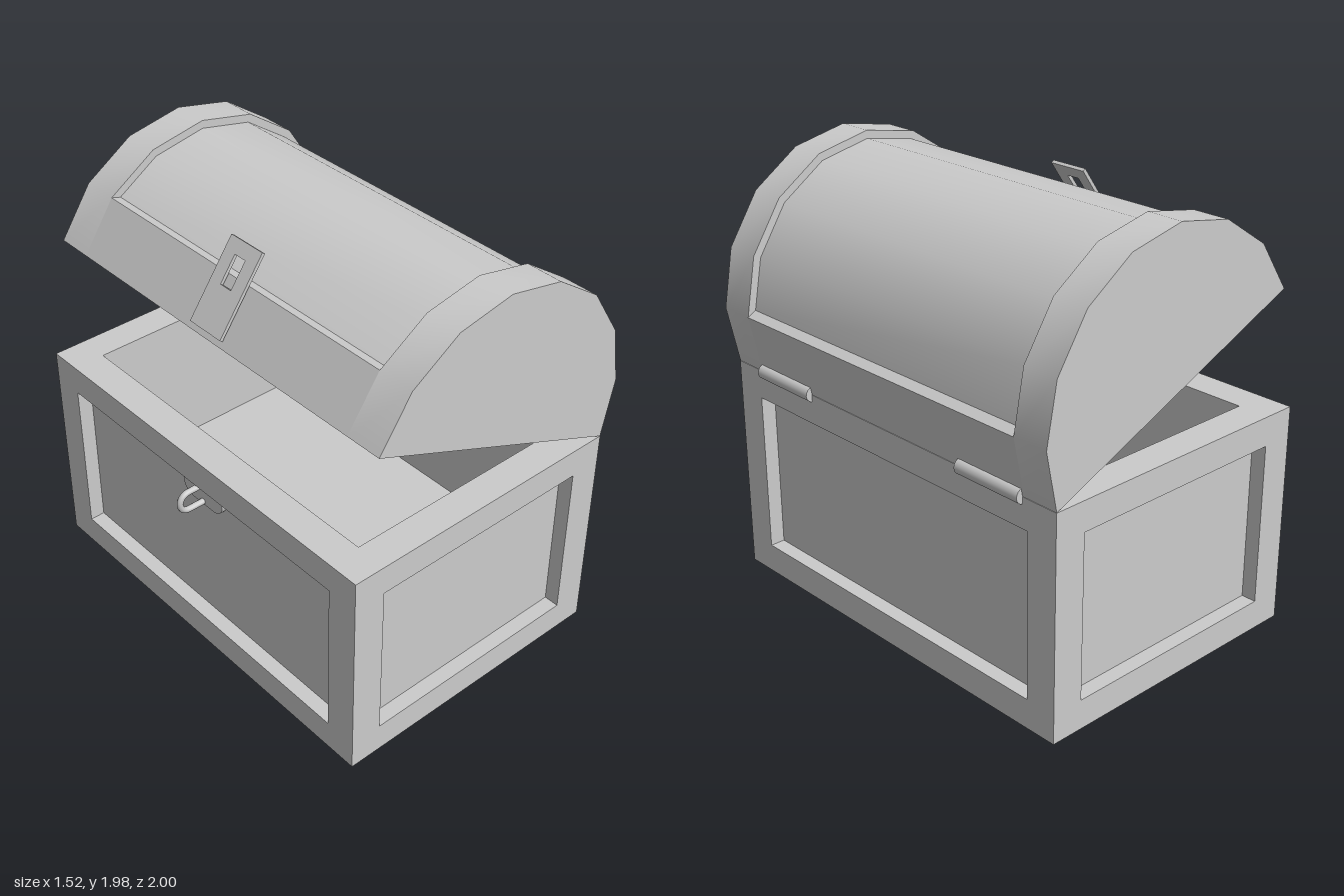
import * as THREE from 'three';
import { toCreasedNormals } from 'three/addons/utils/BufferGeometryUtils.js';

const material = new THREE.MeshStandardMaterial({ color: 0xcccccc });

// Body limits: front of the chest faces -x, hinges are on +x
const X0 = -0.67, X1 = 0.71, TOP = 1.015, RIM = 0.15, RECESS = 0.07, LOWER = 0.135;
const FLOOR = 0.36;

function add(parent, name, geometry) {
  const mesh = new THREE.Mesh(geometry, material);
  mesh.name = name;
  parent.add(mesh);
  return mesh;
}

// Box given by its limits on each axis
function block(parent, name, x0, x1, y0, y1, z0, z1) {
  const mesh = add(parent, name, new THREE.BoxGeometry(x1 - x0, y1 - y0, z1 - z0));
  mesh.position.set((x0 + x1) / 2, (y0 + y1) / 2, (z0 + z1) / 2);
}

// Outline in x/y extruded between two z values, smooth over the curve only
function slab(parent, name, points, z0, z1) {
  const geometry = new THREE.ExtrudeGeometry(new THREE.Shape(points), { depth: z1 - z0, bevelEnabled: false });
  geometry.translate(0, 0, z0);
  return add(parent, name, toCreasedNormals(geometry, 0.5));
}

function createBody() {
  const body = new THREE.Group();
  body.name = 'chestBody';
  const ix0 = X0 + RIM, ix1 = X1 - RIM, iz = 1 - RIM;
  const px0 = X0 + RECESS, px1 = X1 - RECESS, pz = 1 - RECESS;

  // Floor and recessed wall panels
  block(body, 'floor', px0, px1, RECESS, FLOOR, -pz, pz);
  block(body, 'frontPanel', px0, ix0, FLOOR, 0.95, -pz, pz);
  block(body, 'backPanel', ix1, px1, FLOOR, 0.95, -pz, pz);
  for (const s of [-1, 1]) {
    block(body, 'sidePanel', ix0, ix1, FLOOR, 0.95, Math.min(s * iz, s * pz), Math.max(s * iz, s * pz));
  }

  // Frame of corner posts and rails
  for (const [x0, x1] of [[X0, ix0], [ix1, X1]]) {
    for (const [z0, z1] of [[-1, -iz], [iz, 1]]) block(body, 'cornerPost', x0, x1, 0, TOP, z0, z1);
    for (const [y0, y1] of [[0, LOWER], [0.88, TOP]]) block(body, 'longRail', x0, x1, y0, y1, -iz, iz);
  }
  for (const [z0, z1] of [[-1, -iz], [iz, 1]]) {
    for (const [y0, y1] of [[0, LOWER], [0.88, TOP]]) block(body, 'shortRail', ix0, ix1, y0, y1, z0, z1);
  }
  return body;
}

function createLid() {
  const lid = new THREE.Group();
  lid.name = 'lid';
  const tilt = -23.25, step = 22.5, bandZ = 0.83;
  const polar = (r, deg) => {
    const a = THREE.MathUtils.degToRad(deg);
    return new THREE.Vector2(0.07 + r * Math.cos(a), 1.29 + r * Math.sin(a));
  };
  const arc = (r, from, to) => {
    const points = [];
    for (let k = from; k <= to; k++) points.push(polar(r, tilt + step * k));
    return points;
  };

  // Solid end bands
  const outer = arc(0.695, 0, 8);
  slab(lid, 'lidEndBand', outer, bandZ, 1);
  slab(lid, 'lidEndBand', outer, -1, -bandZ);

  // Hollow middle: raised edge rails with a sunken curved panel between them
  const sunken = [polar(0.655, tilt + step + 2), ...arc(0.658, 2, 6), polar(0.655, tilt + step * 7 - 2)];
  const inner = arc(0.55, 0, 8).reverse();
  slab(lid, 'lidShell', [outer[0], outer[1], ...sunken, outer[7], outer[8], ...inner], -bandZ, bandZ);
  return lid;
}

// Hinged plate with a slot, lying on the front of the lid
function createHasp() {
  const shape = new THREE.Shape();
  shape.moveTo(-0.095, 0).lineTo(0.095, 0).lineTo(0.095, 0.382).lineTo(-0.095, 0.382).closePath();
  const slot = new THREE.Path();
  slot.moveTo(-0.032, 0.19).lineTo(-0.032, 0.32).lineTo(0.032, 0.32).lineTo(0.032, 0.19).closePath();
  shape.holes.push(slot);
  const geometry = new THREE.ExtrudeGeometry(shape, { depth: 0.016, bevelEnabled: false });
  const along = new THREE.Vector3(0.222, 0.31, 0).normalize();
  const across = new THREE.Vector3(0, 0, 1);
  const out = new THREE.Vector3().crossVectors(across, along);
  geometry.applyMatrix4(new THREE.Matrix4().makeBasis(across, along, out).setPosition(-0.56, 1.596, 0));
  return geometry;
}

// Staple loop and its rounded mounting plate on the front panel
function createStaple() {
  const staple = new THREE.Group();
  staple.name = 'staple';
  const y = 0.808, r = 0.045, path = [];
  for (const x of [-0.59, -0.63, -0.67]) path.push(new THREE.Vector3(x, y + r, 0));
  for (let k = 0; k <= 8; k++) {
    const a = Math.PI / 2 + (Math.PI * k) / 8;
    path.push(new THREE.Vector3(-0.7 + r * Math.cos(a), y + r * Math.sin(a), 0));
  }
  for (const x of [-0.67, -0.63, -0.59]) path.push(new THREE.Vector3(x, y - r, 0));
  add(staple, 'stapleLoop', new THREE.TubeGeometry(new THREE.CatmullRomCurve3(path), 40, 0.014, 10));

  const outline = new THREE.Shape();
  outline.absarc(0.07, 0, 0.06, -Math.PI / 2, Math.PI / 2);
  outline.absarc(-0.07, 0, 0.06, Math.PI / 2, Math.PI * 1.5);
  const plate = new THREE.ExtrudeGeometry(outline, { depth: 0.025, bevelEnabled: false, curveSegments: 8 });
  plate.rotateY(-Math.PI / 2).translate(X0 + RECESS, y, 0);
  add(staple, 'staplePlate', toCreasedNormals(plate, 0.6));
  return staple;
}

export function createModel() {
  const chest = new THREE.Group();
  chest.name = 'chest';
  chest.add(createBody(), createLid(), createStaple());
  add(chest, 'hasp', createHasp());

  // Hinge barrels along the back edge
  for (const s of [-1, 1]) {
    const hinge = add(chest, 'hinge', new THREE.CylinderGeometry(0.035, 0.035, 0.35, 16));
    hinge.rotation.x = Math.PI / 2;
    hinge.position.set(0.705, 1.018, s * 0.645);
  }
  return chest;
}
